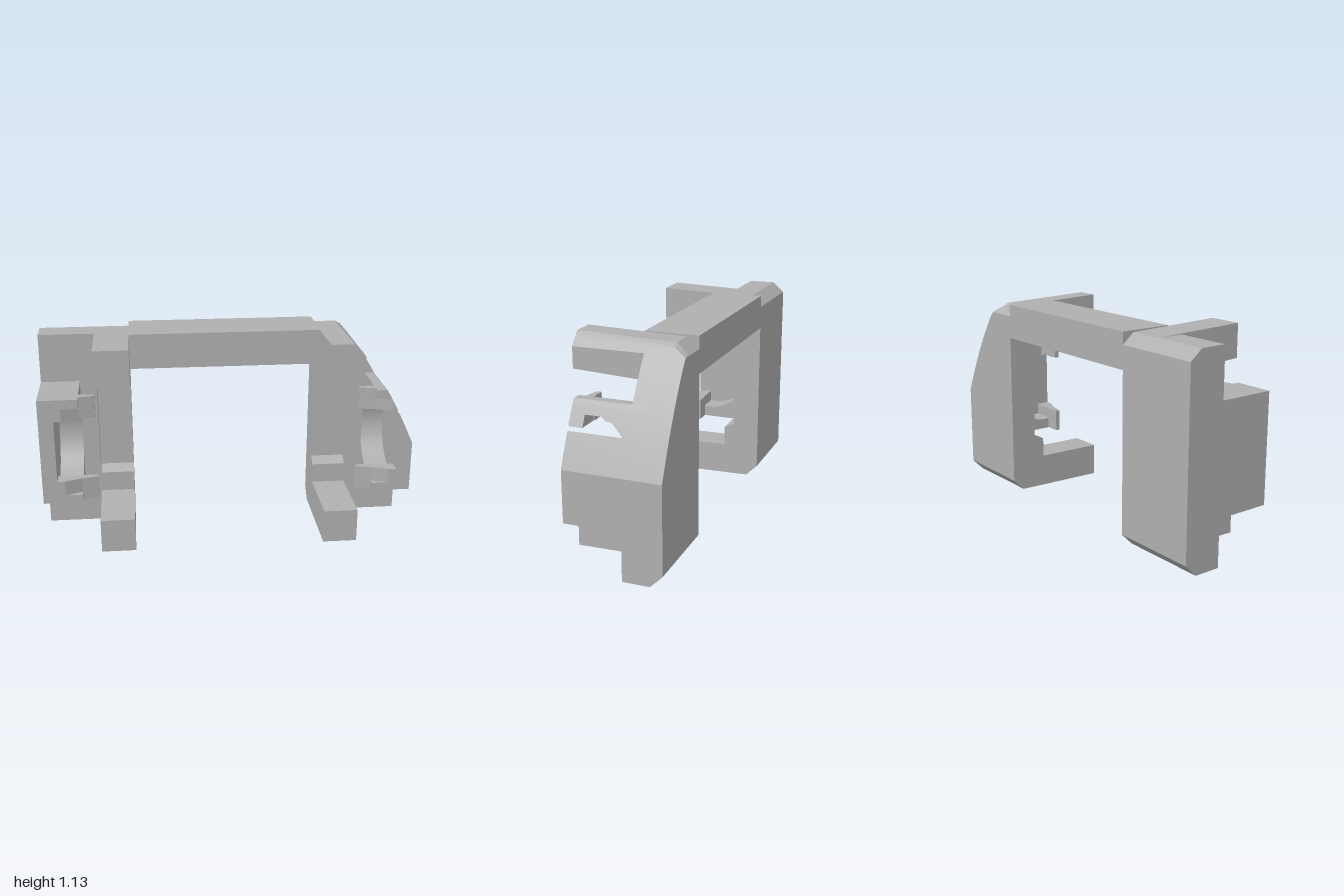
import * as THREE from 'three';
import { toCreasedNormals } from 'three/addons/utils/BufferGeometryUtils.js';

const POCKET = { z: 0.11, y: 0.56, r: 0.235 };
const LIP_Z = 0.145;  // rear of the front lips
const SLOT_Z = 0.2;   // marker depth for the sloped slot faces

// Height of the curved outer shoulder at a given x
function shoulder(x) {
  const t = Math.max(0, (x - 0.64) / 0.36);
  return 1.13 - 0.59 * (0.62 * t + 0.38 * t * t);
}

// Height of the pocket ceiling at a given z
function ceiling(z) {
  if (z > LIP_Z + 0.01) return 0.73;
  const d = POCKET.r ** 2 - (z - POCKET.z) ** 2;
  return d > 0 ? POCKET.y + Math.sqrt(d) : 0;
}

// Extrude a (z, y) profile from x0 to x1, trim it to the shoulder, or mirror it
function slab(profile, x0, x1, steps, curved, pocketed = false) {
  const shape = new THREE.Shape(profile.map(([z, y]) => new THREE.Vector2(-z, y)));
  const geo = new THREE.ExtrudeGeometry(shape, { depth: x1 - x0, steps, bevelEnabled: false });
  geo.rotateY(Math.PI / 2).translate(x0, 0, 0);
  const src = geo.attributes.position;
  const out = [];
  for (let i = 0; i < src.count; i += 3) {
    const tri = [];
    let open = 0;
    for (let k = 0; k < 3; k++) {
      const p = new THREE.Vector3().fromBufferAttribute(src, i + k);
      const top = shoulder(p.x);
      if (pocketed && curved) {
        // the pocket breaks through the shoulder where its ceiling is higher
        const roof = Math.abs(p.y - 0.85) < 1e-4 && p.z > -0.08;
        const inner = p.y < 0.84 && p.y > top - 1e-5;
        if (inner || (roof && ceiling(p.z) > top - 1e-5)) open++;
      }
      if (pocketed && Math.abs(p.z - SLOT_Z) < 1e-4) p.z = 0.22 - Math.max(0, 0.88 - p.x) * 0.4;
      if (curved) p.y = Math.min(p.y, top);
      else p.x = -p.x;
      tri.push(p);
    }
    if (open === 3 || new THREE.Triangle(...tri).getArea() < 1e-8) continue;
    if (!curved) tri.reverse();
    tri.forEach((p) => out.push(p.x, p.y, p.z));
  }
  const result = new THREE.BufferGeometry();
  result.setAttribute('position', new THREE.Float32BufferAttribute(out, 3));
  return toCreasedNormals(result, 0.35);
}

export function createModel() {
  const model = new THREE.Group();
  const grey = new THREE.MeshStandardMaterial({ color: 0xb0b0b0 });
  grey.name = 'grey';
  const add = (parent, name, geometry) => {
    const mesh = new THREE.Mesh(geometry, grey);
    mesh.name = name;
    parent.add(mesh);
    return mesh;
  };

  // Clamp: two long arms joined by a recessed back
  const clamp = [
    [-0.295, 0.075], [-0.23, 0.01], [0.295, 0], [0.295, 0.185], [-0.085, 0.19],
    [-0.085, 0.3], [-0.145, 0.33], [-0.145, 0.78], [-0.085, 0.8], [-0.085, 0.93],
    [0.295, 0.95], [0.295, 1.13], [-0.23, 1.115], [-0.295, 1.06],
  ];
  // Outer back plate, with chamfered rear edges
  const plateLow = [[-0.295, 0.075], [-0.23, 0.01], [-0.085, 0.01]];
  const plateHigh = [[-0.085, 1.115], [-0.23, 1.115], [-0.295, 1.06]];
  const plate = [...plateLow, ...plateHigh];
  // Plate with the side block in front of it
  const block = [...plateLow, [-0.085, 0.265], [0.22, 0.265], [0.22, 0.85], [-0.085, 0.85], ...plateHigh];

  // Side block hollowed by a round pocket between two front lips
  const arc = [];
  const a0 = Math.acos((LIP_Z - POCKET.z) / POCKET.r);
  const N = 28;
  for (let i = 0; i <= N; i++) {
    const a = -a0 - (i / N) * 2 * (Math.PI - a0);
    arc.push([POCKET.z + POCKET.r * Math.cos(a), POCKET.y + POCKET.r * Math.sin(a)]);
  }
  const roof = arc.filter(([z, y]) => y > POCKET.y && z > -0.08).map(([z]) => [z, 0.85]).reverse();
  roof.sort((a, b) => b[0] - a[0]);
  const pocketBlock = [
    ...plateLow, [-0.085, 0.265], [0.22, 0.265], [0.22, 0.31], [SLOT_Z, 0.31], [SLOT_Z, 0.39],
    [LIP_Z, 0.39], ...arc, [LIP_Z, 0.73], [SLOT_Z, 0.73], [SLOT_Z, 0.8], [0.22, 0.8],
    [0.22, 0.85], ...roof, [-0.085, 0.85], ...plateHigh,
  ];

  for (const side of [1, -1]) {
    const curved = side === 1;
    const column = new THREE.Group();
    column.name = curved ? 'leftColumn' : 'rightColumn';
    model.add(column);
    add(column, 'clamp', slab(clamp, 0.515, 0.7, 6, curved));
    add(column, 'backPlate', slab(plate, 0.7, 0.79, 3, curved));
    add(column, 'pocketBlock', slab(pocketBlock, 0.79, 0.92, 13, curved, true));
    add(column, 'outerWall', slab(block, 0.92, 1, 4, curved));

    // Tapered hooks on the front lips
    const hook = new THREE.Shape(
      [[0.79, 0.14], [0.79, 0.184], [0.705, 0.165], [0.705, 0.14]]
        .map(([x, z]) => new THREE.Vector2(side * x, -z)));
    for (const [name, y0, y1] of [['lowerHook', 0.265, 0.39], ['upperHook', 0.73, 0.85]]) {
      const geo = new THREE.ExtrudeGeometry(hook, { depth: y1 - y0, bevelEnabled: false });
      geo.rotateX(-Math.PI / 2);
      add(column, name, geo).position.y = y0;
    }
  }

  // Bar across the top
  add(model, 'crossbar', new THREE.BoxGeometry(1.03, 0.19, 0.285)).position.set(0, 1.03, -0.1525);

  return model;
}
